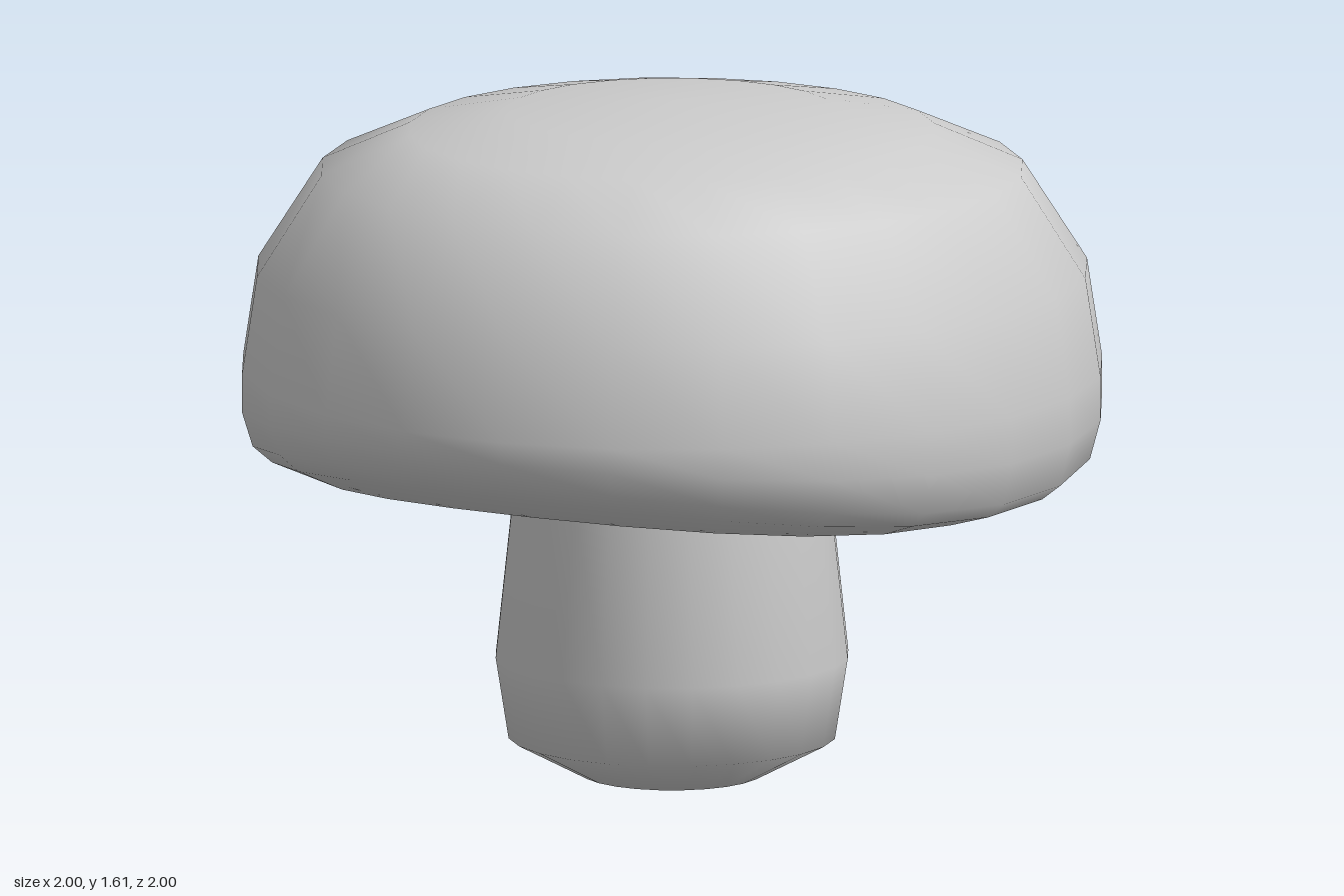
import * as THREE from 'three';
import { mergeVertices } from 'three/addons/utils/BufferGeometryUtils.js';

const SIDES = 24;
const material = new THREE.MeshStandardMaterial({ color: 0xcccccc });

// Turned profile of [radius, height, wave], bottom to top. The wave lifts and
// lowers each ring twice per turn, which gives the cap its wavy rim.
function turned(name, profile) {
  const points = profile.map(([r, y]) => new THREE.Vector2(r, y));
  const geometry = new THREE.LatheGeometry(points, SIDES);
  const pos = geometry.attributes.position;
  for (let i = 0; i < pos.count; i++) {
    const wave = profile[i % profile.length][2] ?? 0;
    const angle = Math.atan2(pos.getZ(i), pos.getX(i));
    pos.setY(i, pos.getY(i) - wave * Math.cos(2 * (angle - 0.66)));
  }
  // Weld the seam so the shading runs smoothly all round
  geometry.deleteAttribute('uv');
  geometry.deleteAttribute('normal');
  const welded = mergeVertices(geometry, 1e-4);
  welded.computeVertexNormals();
  const mesh = new THREE.Mesh(welded, material);
  mesh.name = name;
  return mesh;
}

export function createModel() {
  const group = new THREE.Group();
  group.name = 'mushroom';

  // Bulging stem with a rounded foot, running up into the cap
  group.add(turned('stem', [
    [0, 0], [0.21, 0.02], [0.38, 0.11], [0.41, 0.3], [0.365, 0.72], [0.35, 0.85],
  ]));

  // Cap: shallow underside, rolled wavy rim, broad domed top
  group.add(turned('cap', [
    [0, 0.79], [0.36, 0.78, 0.005], [0.62, 0.755, 0.02], [0.82, 0.738, 0.035],
    [0.93, 0.785, 0.05], [0.975, 0.825, 0.055], [1, 0.9, 0.03],
    [1, 0.98], [0.965, 1.21], [0.815, 1.445], [0.61, 1.535], [0.38, 1.58], [0, 1.605],
  ]));

  return group;
}
